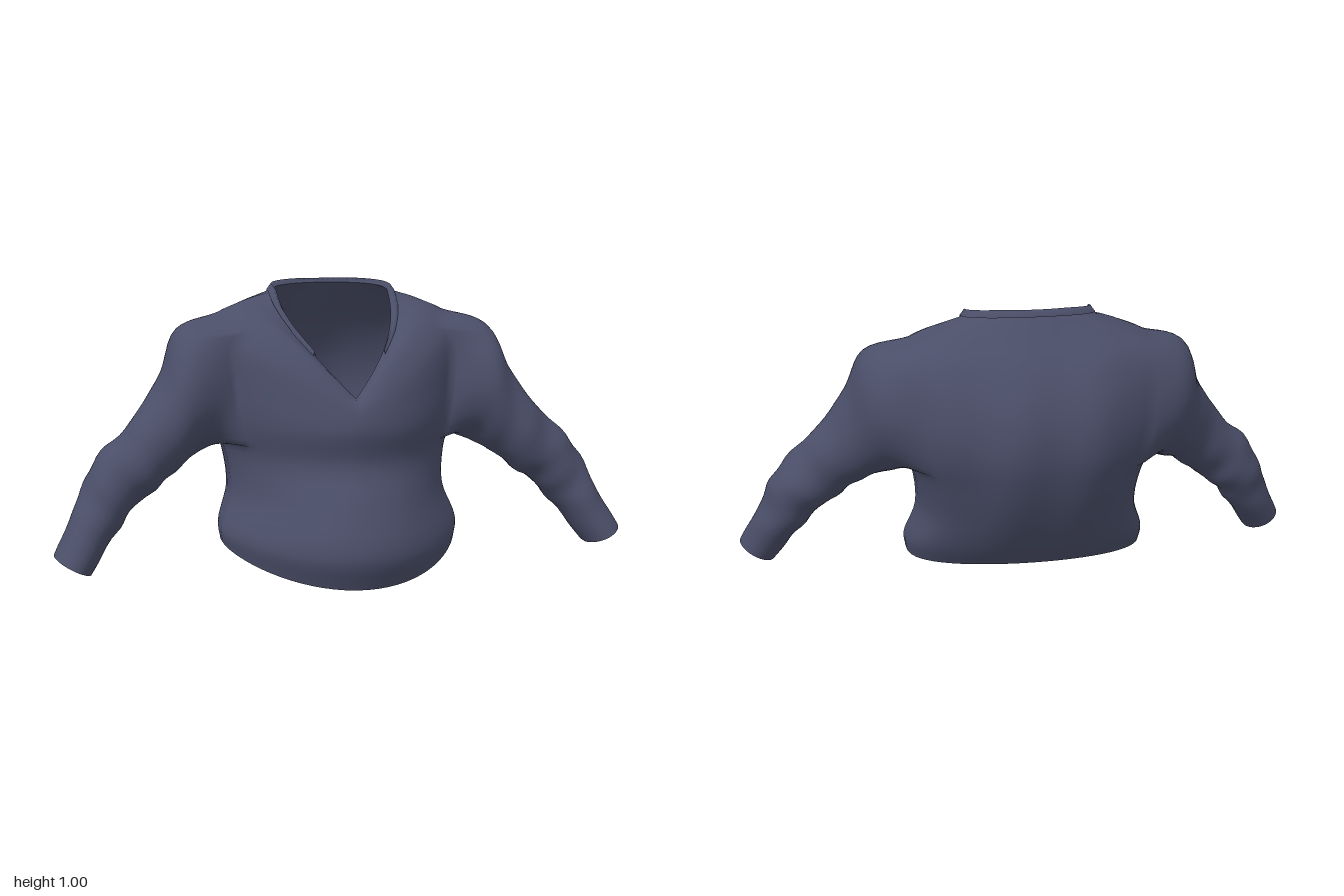
import * as THREE from 'three';

const HALF = 36, COLS = 72, STEP = 5;           // torso grid
const ARM = { c0: 11, c1: 25, r0: 17, r1: 32 }; // armhole in the torso grid
const SLEEVE_ROWS = 36;

// Torso rings, hem to neckline: front y z, side x y z, back y z, front sharpness, front rise
const RINGS = [
  [0, .39, .42, .11, .05, .11, -.2, 0, 1.4],
  [.11, .43, .425, .16, .05, .18, -.255, 0, 1.2],
  [.27, .375, .385, .28, .02, .3, -.33, 0, 1],
  [.4, .313, .395, .41, 0, .42, -.385, .1, 1],
  [.51, .33, .435, .53, -.02, .54, -.415, .2, 1.5],
  [.57, .32, .46, .67, -.05, .68, -.4, .4, 2],
  [.6, .3, .45, .855, -.08, .82, -.33, .8, 2],
  [.61, .28, .32, .93, -.08, .91, -.255, 1, 1.7],
  [.62, .25, .2, .965, -.06, .985, -.19, 1, 1],
];

// Sleeve rings: top x, y, bottom x, y, centre z, half depth
const SLEEVE = [
  [.55, .845, .46, .435, -.035, .215],
  [.63, .675, .54, .4, .02, .165],
  [.75, .52, .625, .335, .065, .13],
  [.86, .41, .715, .27, .075, .12],
  [.92, .28, .79, .185, .105, .112],
  [1, .125, .88, .06, .16, .1],
];

const { lerp } = THREE.MathUtils;
const mirror = (p) => new THREE.Vector3(-p.x, p.y, p.z);

// Point on a ring: a full oval at the back, and a tapered oval at the front that sharpens to a V
function ringPoint([yf, zf, w, ys, zs, yb, zb, sharp, rise], c) {
  const a = Math.PI * c / HALF, x = w * Math.sin(a);
  if (c > HALF / 2 && c < COLS - HALF / 2) {
    const f = Math.pow(Math.abs(Math.cos(a)), .65);
    return new THREE.Vector3(x, lerp(ys, yb, f), lerp(zs, zb, f));
  }
  const oval = Math.max(0, Math.cos(a));
  const straight = 1 - Math.min(c, COLS - c) / (HALF / 2);
  return new THREE.Vector3(x,
    lerp(ys, yf, Math.pow(lerp(oval, straight, sharp), rise)),
    lerp(zs, zf, lerp(Math.pow(oval, 1.55 - .55 * sharp), straight, sharp / 2)));
}

function torsoGrid() {
  const rows = (RINGS.length - 1) * STEP;
  const grid = Array.from({ length: rows + 1 }, () => []);
  for (let c = 0; c < COLS; c++) {
    const column = new THREE.CatmullRomCurve3(RINGS.map((ring) => ringPoint(ring, c)));
    for (let r = 0; r <= rows; r++) {
      const p = column.getPoint(r / rows);
      // soft vertical folds down the back
      if (p.z < 0) {
        const mask = Math.sin(Math.PI * r / rows) * Math.min(1, -p.z / .3);
        p.z += .007 * mask * Math.cos(p.x * 24 + p.y * 2);
      }
      grid[r].push(p);
    }
  }
  return grid;
}

// Border of the left armhole, counter-clockwise seen from outside
function armholeLoop() {
  const loop = [], { c0, c1, r0, r1 } = ARM;
  for (let c = c0; c < c1; c++) loop.push([r0, c]);
  for (let r = r0; r < r1; r++) loop.push([r, c1]);
  for (let c = c1; c > c0; c--) loop.push([r1, c]);
  for (let r = r1; r > r0; r--) loop.push([r, c0]);
  return loop;
}

export function createModel() {
  const group = new THREE.Group();
  group.name = 'shirt';
  const cloth = new THREE.MeshStandardMaterial({ color: 0x4a4e68, side: THREE.DoubleSide });
  cloth.name = 'slate blue cloth';

  const positions = [];
  const add = (p) => positions.push(p.x, p.y, p.z) / 3 - 1;
  const quad = (list, a, b, c, d, flip) =>
    flip ? list.push(a, c, b, a, d, c) : list.push(a, b, c, a, c, d);

  // Torso with armholes left open
  const grid = torsoGrid();
  const ids = grid.map((row) => row.map(add));
  const body = [];
  for (let r = 0; r < grid.length - 1; r++) {
    for (let c = 0; c < COLS; c++) {
      const h = c < HALF ? c : COLS - 1 - c;
      if (r >= ARM.r0 && r < ARM.r1 && h >= ARM.c0 && h < ARM.c1) continue;
      const n = (c + 1) % COLS;
      quad(body, ids[r][c], ids[r][n], ids[r + 1][n], ids[r + 1][c]);
    }
  }

  // Sleeves grow out of the armhole border
  const loop = armholeLoop();
  const sleeves = [1, -1].map((side) => {
    const faces = [];
    const columns = loop.map(([r, c]) => {
      const start = grid[r][c];
      const a = Math.atan2((start.y - .67) / .21, (start.z + .03) / .21);
      const s = Math.sin(a), k = Math.cos(a);
      const path = new THREE.CatmullRomCurve3([start, ...SLEEVE.map(([tx, ty, bx, by, z, d]) =>
        new THREE.Vector3(lerp(bx, tx, (1 + s) / 2), lerp(by, ty, (1 + s) / 2), z + d * k))]);
      const column = [ids[r][side > 0 ? c : COLS - c]];
      for (let j = 1; j <= SLEEVE_ROWS; j++) {
        const t = j / SLEEVE_ROWS, p = path.getPoint(t);
        // slanting creases, strongest around the elbow and forearm
        const fold = .007 * Math.sin(Math.PI * t) * t *
          (Math.sin(t * 30 + 2 * a + side) + .5 * Math.sin(t * 47 - a));
        p.add(new THREE.Vector3(s * .7, s * .7, k).multiplyScalar(fold));
        column.push(add(side > 0 ? p : mirror(p)));
      }
      return column;
    });
    columns.forEach((col, i) => {
      const next = columns[(i + 1) % columns.length];
      for (let j = 0; j < SLEEVE_ROWS; j++) quad(faces, col[j], next[j], next[j + 1], col[j + 1], side < 0);
    });
    return faces;
  });

  // One set of smooth normals keeps the shoulder joins seamless
  const smooth = (points, index) => {
    const g = new THREE.BufferGeometry();
    g.setAttribute('position', new THREE.Float32BufferAttribute(points, 3));
    g.setIndex(index);
    g.computeVertexNormals();
    return g;
  };
  const addMesh = (name, index, source) => {
    const g = source.clone();
    g.setIndex(index);
    const mesh = new THREE.Mesh(g, cloth);
    mesh.name = name;
    group.add(mesh);
  };
  const whole = smooth(positions, [...body, ...sleeves[0], ...sleeves[1]]);
  addMesh('torso', body, whole);
  addMesh('leftSleeve', sleeves[0], whole);
  addMesh('rightSleeve', sleeves[1], whole);

  // Narrow folded collar hugging the neckline, with pointed front tips
  const top = grid.length - 1, first = 7, last = COLS - first;
  const collarPoints = [], collarFaces = [];
  for (let c = first; c <= last; c++) {
    const edge = grid[top][c], out = grid[top - 3][c];
    const lift = new THREE.Vector3(edge.x, .1, edge.z + .05).setLength(.008);
    const tip = Math.max(0, 11 - Math.min(c, COLS - c)) * .008;
    [0, .08, .3].forEach((t, k) => {
      const p = edge.clone().lerp(out, t);
      if (k > 0) p.add(lift);
      if (k === 1) p.y += .016;
      if (k === 2) p.y -= tip;
      collarPoints.push(p.x, Math.min(p.y, 1), p.z);
    });
    if (c < last) {
      const i = (c - first) * 3;
      for (let k = 0; k < 2; k++) quad(collarFaces, i + k, i + k + 1, i + k + 4, i + k + 3);
    }
  }
  addMesh('collar', collarFaces, smooth(collarPoints, collarFaces));
  return group;
}
